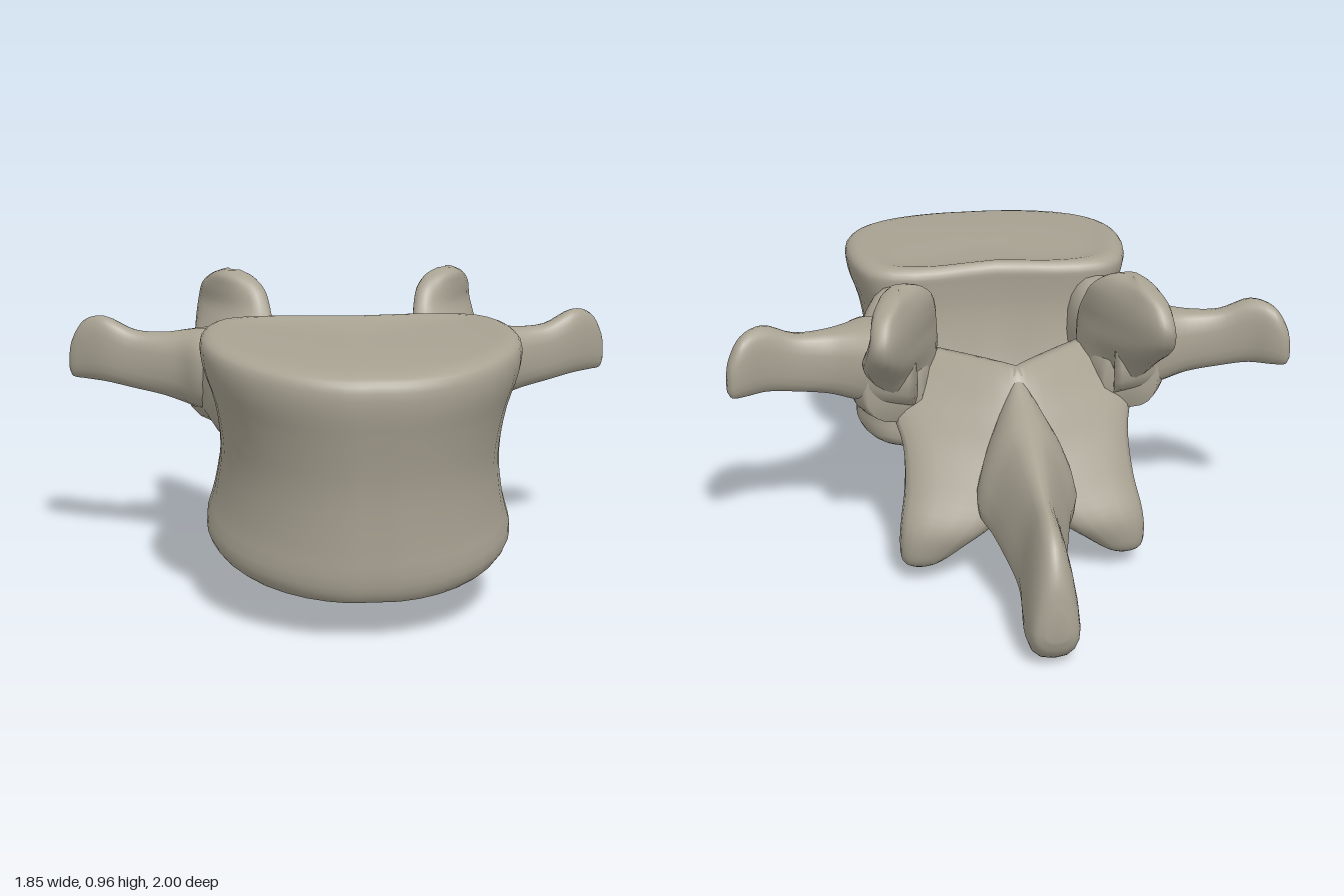
import * as THREE from 'three';

const V = (x, y, z) => new THREE.Vector3(x, y, z);

// Closed skin through equal-sized rings, smoothed along its length and capped with fans.
function loft(rings, steps = 4) {
  const n = rings[0].length, rows = (rings.length - 1) * steps;
  const columns = rings[0].map((_, j) =>
    new THREE.CatmullRomCurve3(rings.map(r => r[j])).getPoints(rows));
  const pts = [];
  for (let i = 0; i <= rows; i++) for (let j = 0; j < n; j++) pts.push(columns[j][i]);
  const centre = i => pts.slice(i * n, i * n + n).reduce((s, p) => s.add(p), V(0, 0, 0)).divideScalar(n);
  const first = centre(0), last = centre(rows);
  pts.push(first, last);
  const tris = [], a = pts.length - 2, b = a + 1;
  for (let j = 0; j < n; j++) {
    const k = (j + 1) % n;
    for (let i = 0; i < rows; i++) {
      const p = i * n + j, q = i * n + k;
      tris.push([p, q, p + n], [q, q + n, p + n]);
    }
    tris.push([a, k, j], [b, rows * n + j, rows * n + k]);
  }
  // turn all faces outward, whichever way the rings run
  let volume = 0;
  for (const [p, q, r] of tris) volume += pts[p].dot(V(0, 0, 0).crossVectors(pts[q], pts[r]));
  const geo = new THREE.BufferGeometry().setFromPoints(pts);
  geo.setIndex(tris.flatMap(t => (volume < 0 ? [t[0], t[2], t[1]] : t)));
  geo.computeVertexNormals();
  return geo;
}

// Rounded section around c with half axes u and v; bend curves its two ends.
function section(c, u, v, bend = V(0, 0, 0), n = 20, power = 0.8) {
  const soft = t => Math.sign(t) * Math.abs(t) ** power;
  return Array.from({ length: n }, (_, i) => {
    const t = i / n * Math.PI * 2, p = soft(Math.cos(t)), q = soft(Math.sin(t));
    return c.clone().addScaledVector(u, p).addScaledVector(v, q).addScaledVector(bend, p * p);
  });
}

// Level section of a plate from (ax, az) to (bx, bz), t is half its thickness.
function plate([y, ax, az, bx, bz, t], bend = 0) {
  const u = V((bx - ax) / 2, 0, (bz - az) / 2);
  const v = V(-u.z, 0, u.x).normalize();
  return section(V((ax + bx) / 2, y, (az + bz) / 2), u, v.clone().multiplyScalar(t),
    v.clone().multiplyScalar(bend));
}

// Kidney-shaped body: outline is [share of half width, share from back to front].
function bodyGeometry() {
  const half = [[0, 1], [0.18, 1], [0.45, 0.95], [0.71, 0.84], [0.89, 0.69], [0.98, 0.53],
    [1, 0.38], [0.97, 0.2], [0.88, 0.06], [0.72, 0], [0.42, -0.01], [0, 0.03]];
  const all = [...half, ...half.slice(1, -1).reverse().map(([x, t]) => [-x, t])];
  const outline = new THREE.CatmullRomCurve3(all.map(([x, t]) => V(x, 0, t)), true).getPoints(44).slice(0, -1);
  // half width, back z, front z, back y, front y, rise at the middle
  const levels = [
    [0.1, 0.42, 0.62, 0.21, 0.18, 0],
    [0.37, 0.2, 0.85, 0.24, 0.14, 0],
    [0.435, 0.125, 0.91, 0.245, 0.128, 0],
    [0.475, 0.105, 0.935, 0.285, 0.18, 0],
    [0.45, 0.12, 0.94, 0.4, 0.29, 0],
    [0.43, 0.16, 0.95, 0.53, 0.46, 0],
    [0.45, 0.19, 0.98, 0.7, 0.62, 0],
    [0.485, 0.19, 1.0, 0.8, 0.72, 0.01],
    [0.487, 0.19, 0.995, 0.84, 0.785, 0.025],
    [0.455, 0.215, 0.965, 0.865, 0.81, 0.022],
    [0.37, 0.28, 0.87, 0.852, 0.825, 0.012],
    [0.1, 0.45, 0.62, 0.838, 0.838, 0]];
  return loft(levels.map(([w, zb, zf, yb, yf, rise]) => outline.map(({ x, z: t }) =>
    V(x * w, yb + (yf - yb) * t + rise * 4 * t * (1 - t), zb + (zf - zb) * t))), 3);
}

// Backward spine, narrower at its upper edge: z, top y, bottom y, half width.
function spinousGeometry() {
  const cuts = [
    [-0.235, 0.655, 0.5, 0.03], [-0.34, 0.605, 0.33, 0.13], [-0.44, 0.57, 0.2, 0.18],
    [-0.52, 0.54, 0.165, 0.145], [-0.62, 0.5, 0.135, 0.115], [-0.74, 0.455, 0.085, 0.085],
    [-0.86, 0.43, 0.006, 0.092], [-0.93, 0.385, 0.015, 0.09], [-0.98, 0.3, 0.06, 0.075],
    [-1, 0.2, 0.11, 0.04]];
  return loft(cuts.map(([z, top, low, w]) => {
    const mid = (top + low) / 2, h = (top - low) / 2;
    const ring = section(V(0, mid, z), V(w, 0, 0), V(0, h, 0));
    ring.forEach(p => { p.x *= 0.8 - 0.33 * (p.y - mid) / h; });
    return ring;
  }));
}

// Paired parts, given as rings for the +x side.
const pairedParts = {
  Pedicle: [
    [0.36, 0.3, 0.65, 0.06, 0.1], [0.26, 0.335, 0.64, 0.085, 0.15], [0.17, 0.35, 0.63, 0.11, 0.185],
    [0.06, 0.375, 0.63, 0.118, 0.152], [-0.07, 0.395, 0.61, 0.14, 0.148], [-0.18, 0.39, 0.58, 0.09, 0.1],
  ].map(([z, x, y, w, h]) => section(V(x, y, z), V(w, 0, 0), V(0, h, 0))),

  TransverseProcess: [ // x, y, z, half height, half thickness
    [0.36, 0.64, -0.04, 0.13, 0.2], [0.46, 0.65, -0.05, 0.135, 0.155], [0.53, 0.657, -0.065, 0.122, 0.1],
    [0.6, 0.664, -0.073, 0.107, 0.068], [0.7, 0.677, -0.095, 0.1, 0.048], [0.8, 0.708, -0.125, 0.112, 0.045],
    [0.87, 0.7, -0.165, 0.1, 0.042], [0.91, 0.67, -0.185, 0.065, 0.03], [0.922, 0.655, -0.19, 0.03, 0.012],
  ].map(([x, y, z, h, t]) => section(V(x, y, z), V(0, h, 0), V(0.2 * t, 0, t))),

  SuperiorArticularProcess: [ // height, inner end, outer end, half thickness
    [0.56, 0.29, -0.03, 0.42, -0.15, 0.06], [0.65, 0.28, 0.02, 0.46, -0.23, 0.085],
    [0.72, 0.28, 0.02, 0.475, -0.33, 0.085], [0.78, 0.275, -0.01, 0.48, -0.395, 0.068],
    [0.84, 0.275, -0.06, 0.478, -0.412, 0.055], [0.9, 0.29, -0.1, 0.465, -0.365, 0.052],
    [0.94, 0.325, -0.14, 0.43, -0.3, 0.042], [0.96, 0.36, -0.18, 0.4, -0.24, 0.015],
  ].map(r => plate(r, -0.022)),

  LaminaAndInferiorProcess: [
    [0.67, -0.01, -0.24, 0.34, 0.04, 0.02], [0.62, -0.02, -0.275, 0.38, 0.03, 0.052],
    [0.53, -0.02, -0.31, 0.4, -0.08, 0.068], [0.42, -0.02, -0.34, 0.37, -0.2, 0.075],
    [0.3, 0, -0.375, 0.375, -0.28, 0.085], [0.2, 0.1, -0.39, 0.395, -0.335, 0.088],
    [0.13, 0.19, -0.375, 0.402, -0.35, 0.078], [0.075, 0.265, -0.365, 0.395, -0.35, 0.06],
    [0.045, 0.32, -0.355, 0.36, -0.35, 0.02],
  ].map(r => plate(r)),
};

export function createModel() {
  const group = new THREE.Group();
  group.name = 'vertebra';
  const bone = new THREE.MeshStandardMaterial({ color: 0xa8a292 });
  bone.name = 'bone';
  const add = (name, geo) => {
    const mesh = new THREE.Mesh(geo, bone);
    mesh.name = name;
    group.add(mesh);
  };

  add('vertebralBody', bodyGeometry());
  add('spinousProcess', spinousGeometry());
  for (const [name, rings] of Object.entries(pairedParts)) {
    for (const [side, s] of [['left', 1], ['right', -1]]) {
      add(side + name, loft(rings.map(r => r.map(p => V(p.x * s, p.y, p.z)))));
    }
  }
  return group;
}
